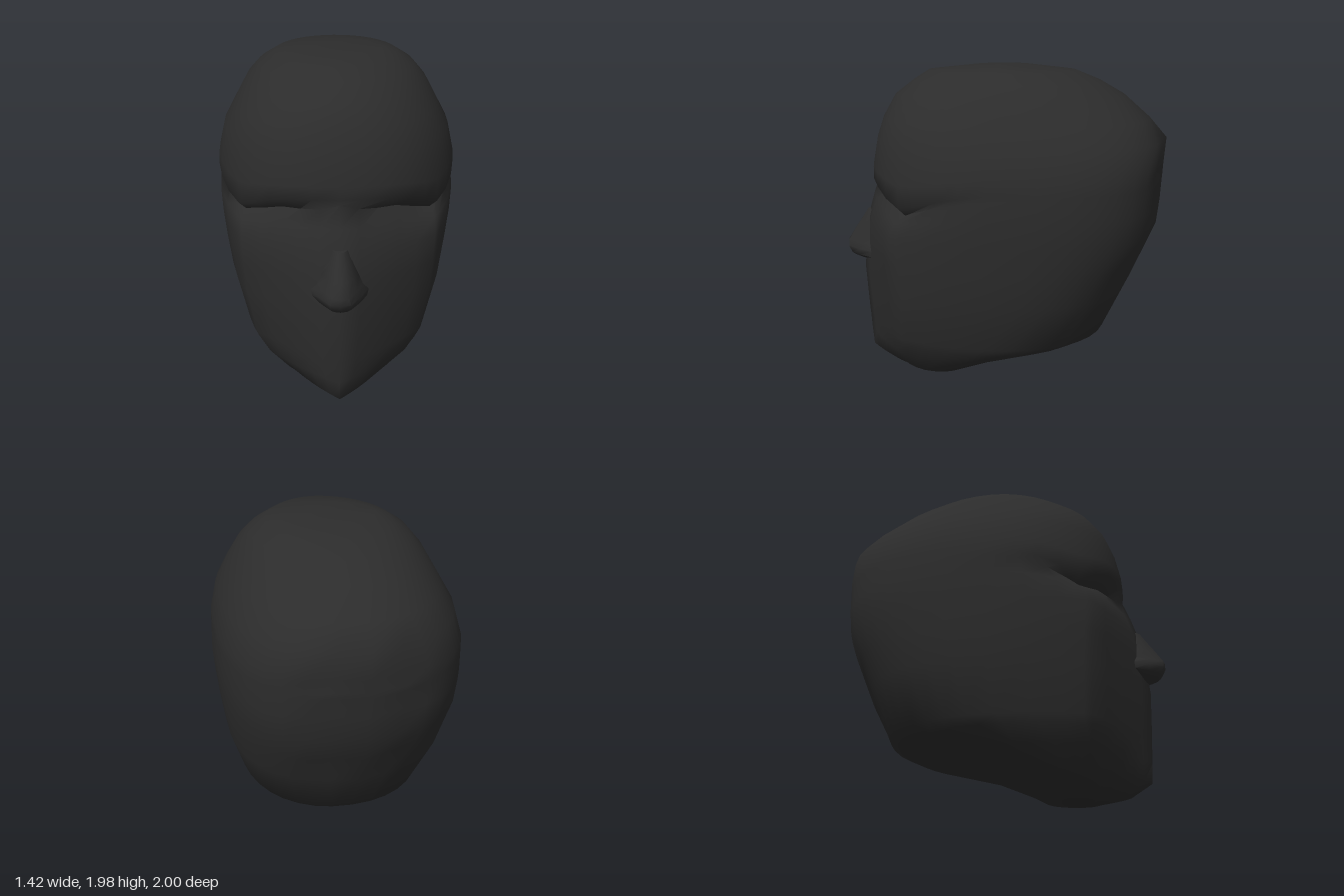
import * as THREE from 'three';
import { toCreasedNormals } from 'three/addons/utils/BufferGeometryUtils.js';

const FRONT = 9, BACK = 9;

// Mirror a half ring (centre front to centre back) into a closed loop
const mirror = (half) => [...half, ...half.slice(1, -1).reverse().map(([x, y, z]) => [-x, y, z])];

// Skin closed loops, listed bottom to top, and cap both ends
function loft(rings, crease, bottom, top) {
  const n = rings[0].length, pos = [...rings.flat(), bottom, top].flat(), index = [];
  const b = rings.length * n, t = b + 1, last = (rings.length - 1) * n;
  for (let i = 0; i < n; i++) {
    const j = (i + 1) % n;
    for (let r = 0; r < rings.length - 1; r++) {
      const o = r * n, p = o + n;
      index.push(o + i, o + j, p + j, o + i, p + j, p + i);
    }
    index.push(b, j, i, t, last + i, last + j);
  }
  const g = new THREE.BufferGeometry();
  g.setAttribute('position', new THREE.Float32BufferAttribute(pos, 3));
  g.setIndex(index);
  return toCreasedNormals(g, crease);
}

// Droop from the centre towards the temples: brow edge, and the eye hollow under it
const BROW = [0, 0, 0.01, 0.035, 0.08, 0.12, 0.09, 0.05, 0.02, 0];
const HOLLOW = [0, 0.04, 0.055, 0.065, 0.1, 0.13, 0.11, 0.07, 0.03, 0];
const scale = (table, k) => table.map((d) => d * k);

// One head section: wedge-shaped face if a cheek corner is given, else rounded.
// ef and eb set how square the front and back are; groove dents the nape beside its ridge.
function headRing({ y, zf, zb, hw, zc = 0, corner, droop, ef = 2.2, eb = 2.2, groove = 0 }) {
  const half = [];
  for (let i = 0; i < FRONT; i++) {
    let x, z;
    if (corner && i <= 5) {
      const u = i / 5;
      x = corner[0] * u;
      z = zf + (corner[1] - zf) * u + 0.018 * Math.sin(Math.PI * u);
    } else if (corner) {
      const t = ((i - 5) / (FRONT - 5)) * Math.PI / 2;
      x = corner[0] + (hw - corner[0]) * Math.sin(t) ** 1.8;
      z = zc + (corner[1] - zc) * Math.cos(t);
    } else {
      const t = (i / FRONT) * Math.PI / 2, e = 2 / ef;
      x = hw * Math.sin(t) ** e;
      z = zc + (zf - zc) * Math.cos(t) ** e;
    }
    half.push([x, y - (droop ? droop[i] : 0), z]);
  }
  for (let i = 0; i <= BACK; i++) {
    const t = (i / BACK) * Math.PI / 2, e = 2 / eb;
    let z = zc + (zb - zc) * Math.sin(t) ** e;
    if (i === BACK && y > 0.6 && y < 1.6) z -= 0.03;
    if (i === BACK - 1) z += groove;
    half.push([i === BACK ? 0 : hw * Math.cos(t) ** e, y, z]);
  }
  return mirror(half);
}

const HEAD = [
  // chin, jaw and sloping neck base
  { y: 0.01, zf: 0.62, zb: 0.38, hw: 0.1, zc: 0.5, corner: [0.06, 0.56] },
  { y: 0.03, zf: 0.74, zb: 0.24, hw: 0.19, zc: 0.47, corner: [0.13, 0.58] },
  { y: 0.11, zf: 0.865, zb: 0.12, hw: 0.37, zc: 0.36, corner: [0.27, 0.57] },
  { y: 0.23, zf: 0.875, zb: -0.15, hw: 0.49, zc: 0.2, corner: [0.4, 0.56] },
  { y: 0.32, zf: 0.88, zb: -0.55, hw: 0.555, zc: 0.08, corner: [0.46, 0.55] },
  { y: 0.37, zf: 0.884, zb: -0.66, hw: 0.58, zc: 0.03, corner: [0.485, 0.55] },
  // cheeks
  { y: 0.66, zf: 0.9, zb: -0.78, hw: 0.66, corner: [0.53, 0.565], eb: 2.5 },
  { y: 0.85, zf: 0.885, zb: -0.86, hw: 0.685, corner: [0.54, 0.58], eb: 2.6, groove: 0.02 },
  { y: 1.02, zf: 0.86, zb: -0.93, hw: 0.702, corner: [0.543, 0.59], eb: 2.75 },
  { y: 1.17, zf: 0.815, zb: -0.945, hw: 0.712, corner: [0.54, 0.55], droop: scale(HOLLOW, 0.45), eb: 2.8, groove: 0.02 },
  // eye hollows and overhanging brow
  { y: 1.285, zf: 0.772, zb: -0.95, hw: 0.708, corner: [0.52, 0.49], droop: HOLLOW, eb: 2.8 },
  { y: 1.32, zf: 0.78, zb: -0.952, hw: 0.706, droop: BROW, eb: 2.8 },
  { y: 1.39, zf: 0.78, zb: -0.955, hw: 0.702, droop: scale(BROW, 0.5), eb: 2.8, groove: 0.02 },
  // forehead and crown
  { y: 1.55, zf: 0.75, zb: -0.965, hw: 0.662, eb: 2.5 },
  { y: 1.67, zf: 0.71, zb: -0.89, hw: 0.597, eb: 2.3 },
  { y: 1.8, zf: 0.64, zb: -0.74, hw: 0.525, ef: 2, eb: 2.1 },
  { y: 1.88, zf: 0.535, zb: -0.6, hw: 0.455, ef: 1.9, eb: 2 },
  { y: 1.94, zf: 0.44, zb: -0.45, hw: 0.36, ef: 1.8, eb: 2 },
  { y: 1.963, zf: 0.22, zb: -0.22, hw: 0.28, ef: 1.8, eb: 2 },
];

// Nose sections: height, half width, ridge depth
const NOSE = [
  [0.725, 0.03, 0.915], [0.75, 0.1, 0.96], [0.77, 0.15, 0.98], [0.81, 0.158, 1.0],
  [0.85, 0.125, 1.0], [0.92, 0.1, 0.955], [1.0, 0.07, 0.9], [1.055, 0.045, 0.865],
];

function noseRing([y, w, zt]) {
  const zb = 0.89 - 0.5 * w - Math.max(0, y - 0.85) * 0.2;
  const d = zt - zb;
  return mirror([[0, y, zt], [w * 0.35, y, zb + d * 0.93], [w * 0.7, y, zb + d * 0.5],
    [w, y, zb], [w * 0.8, y, zb - 0.05], [0, y, zb - 0.06]]);
}

export function createModel() {
  const group = new THREE.Group();
  const charcoal = new THREE.MeshStandardMaterial({ color: 0x2c2c2c });
  charcoal.name = 'charcoal';
  const add = (name, geometry) => {
    const mesh = new THREE.Mesh(geometry, charcoal);
    mesh.name = name;
    group.add(mesh);
  };
  add('head', loft(HEAD.map(headRing), 1.2, [0, 0, 0.5], [0, 1.98, 0]));
  add('nose', loft(NOSE.map(noseRing), 0.8, [0, 0.72, 0.87], [0, 1.06, 0.84]));
  return group;
}
